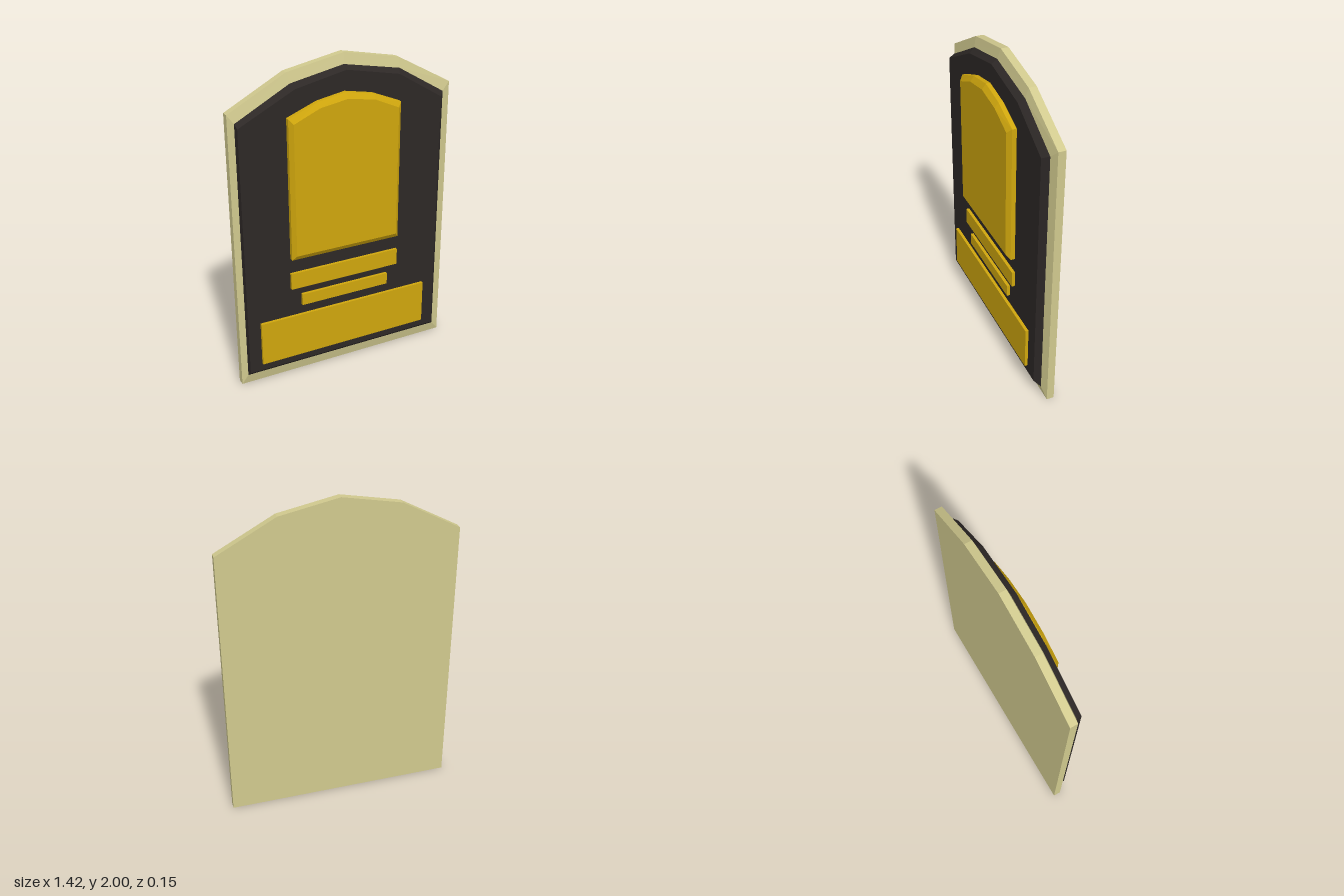
import * as THREE from 'three';

// Seven-point arched outline, counter-clockwise seen from the front
function arch(left, right, bottom, corner, shoulderL, shoulderR, shoulder, mid, top) {
  return [[left, bottom], [right, bottom], [right, corner], [shoulderR, shoulder],
    [mid, top], [shoulderL, shoulder], [left, corner]];
}

// Closed solid through matching convex outlines, listed from back to front
function loft(name, color, layers) {
  const pos = [];
  const pt = (layer, i) => {
    const p = layer.outline[i % layer.outline.length];
    return [p[0], p[1], layer.z];
  };
  const tri = (a, b, c) => pos.push(...a, ...b, ...c);
  const n = layers[0].outline.length;
  for (let k = 0; k < layers.length - 1; k++) {
    const a = layers[k], b = layers[k + 1];
    for (let i = 0; i < n; i++) {
      tri(pt(a, i), pt(a, i + 1), pt(b, i + 1));
      tri(pt(a, i), pt(b, i + 1), pt(b, i));
    }
  }
  const back = layers[0], front = layers[layers.length - 1];
  for (let i = 1; i < n - 1; i++) {
    tri(pt(back, 0), pt(back, i + 1), pt(back, i));
    tri(pt(front, 0), pt(front, i), pt(front, i + 1));
  }
  const geometry = new THREE.BufferGeometry();
  geometry.setAttribute('position', new THREE.Float32BufferAttribute(pos, 3));
  geometry.computeVertexNormals();
  const mesh = new THREE.Mesh(geometry, new THREE.MeshStandardMaterial({ color, flatShading: true }));
  mesh.name = name;
  return mesh;
}

export function createModel() {
  const group = new THREE.Group();
  group.name = 'plaque';
  const cream = 0xd0c98e, dark = 0x2d2826, gold = 0xcfa60d;

  // Backing board with a bevelled rim
  const rim = arch(-0.708, 0.708, 0, 1.74, -0.355, 0.355, 1.93, 0, 2);
  const boardFront = arch(-0.672, 0.655, 0.065, 1.69, -0.34, 0.35, 1.87, -0.01, 1.937);
  group.add(loft('backingBoard', cream, [
    { z: -0.074, outline: rim },
    { z: -0.028, outline: rim },
    { z: -0.012, outline: boardFront },
  ]));

  // Dark face panel, tapering towards the front
  group.add(loft('facePanel', dark, [
    { z: -0.012, outline: boardFront },
    { z: 0.023, outline: arch(-0.668, 0.622, 0.098, 1.67, -0.325, 0.333, 1.845, -0.01, 1.913) },
  ]));

  // Raised arched panel with a chamfered front
  const raised = arch(-0.383, 0.33, 0.82, 1.69, -0.2, 0.15, 1.763, -0.025, 1.795);
  group.add(loft('raisedPanel', gold, [
    { z: 0.02, outline: raised },
    { z: 0.05, outline: raised },
    { z: 0.073, outline: arch(-0.36, 0.305, 0.852, 1.662, -0.2, 0.15, 1.732, -0.025, 1.762) },
  ]));

  // Flat name plates: left edge, right edge, bottom, top
  const plates = {
    upperPlate: [-0.387, 0.334, 0.62, 0.725],
    middlePlate: [-0.318, 0.266, 0.496, 0.57],
    lowerPlate: [-0.59, 0.536, 0.15, 0.432],
  };
  for (const [name, [x0, x1, y0, y1]] of Object.entries(plates)) {
    const plate = new THREE.Mesh(
      new THREE.BoxGeometry(x1 - x0, y1 - y0, 0.022),
      new THREE.MeshStandardMaterial({ color: gold, flatShading: true }));
    plate.position.set((x0 + x1) / 2, (y0 + y1) / 2, 0.031);
    plate.name = name;
    group.add(plate);
  }
  return group;
}
